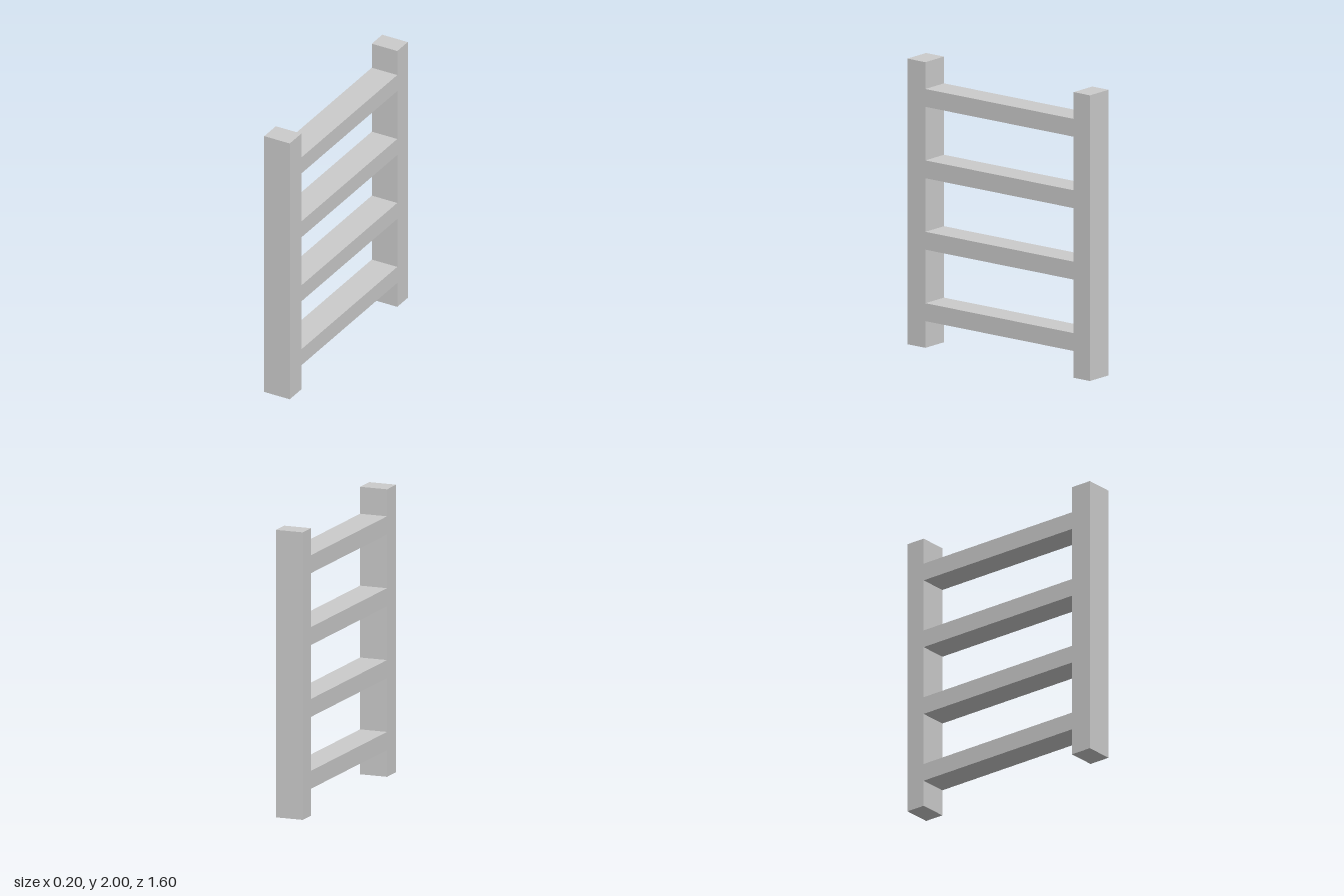
import * as THREE from 'three';

export function createModel() {
  const ladder = new THREE.Group();
  ladder.name = 'ladder';
  const material = new THREE.MeshStandardMaterial({ color: 0xcccccc, flatShading: true });
  const width = 0.2;
  const frontInner = 0.643, backInner = -0.658, outer = 0.8;

  // Box spanning the given y and z ranges across the full width
  function addBeam(name, y0, y1, z0, z1) {
    const mesh = new THREE.Mesh(new THREE.BoxGeometry(width, y1 - y0, z1 - z0), material);
    mesh.position.set(0, (y0 + y1) / 2, (z0 + z1) / 2);
    mesh.name = name;
    ladder.add(mesh);
  }

  // Upright posts
  addBeam('frontPost', 0, 2, frontInner, outer);
  addBeam('backPost', 0, 2, -outer, backInner);

  // Four evenly spaced rungs
  for (let i = 0; i < 4; i++) {
    const y = 0.25 + i * 0.5;
    addBeam(`rung${i + 1}`, y - 0.0625, y + 0.0625, backInner, frontInner);
  }

  return ladder;
}
